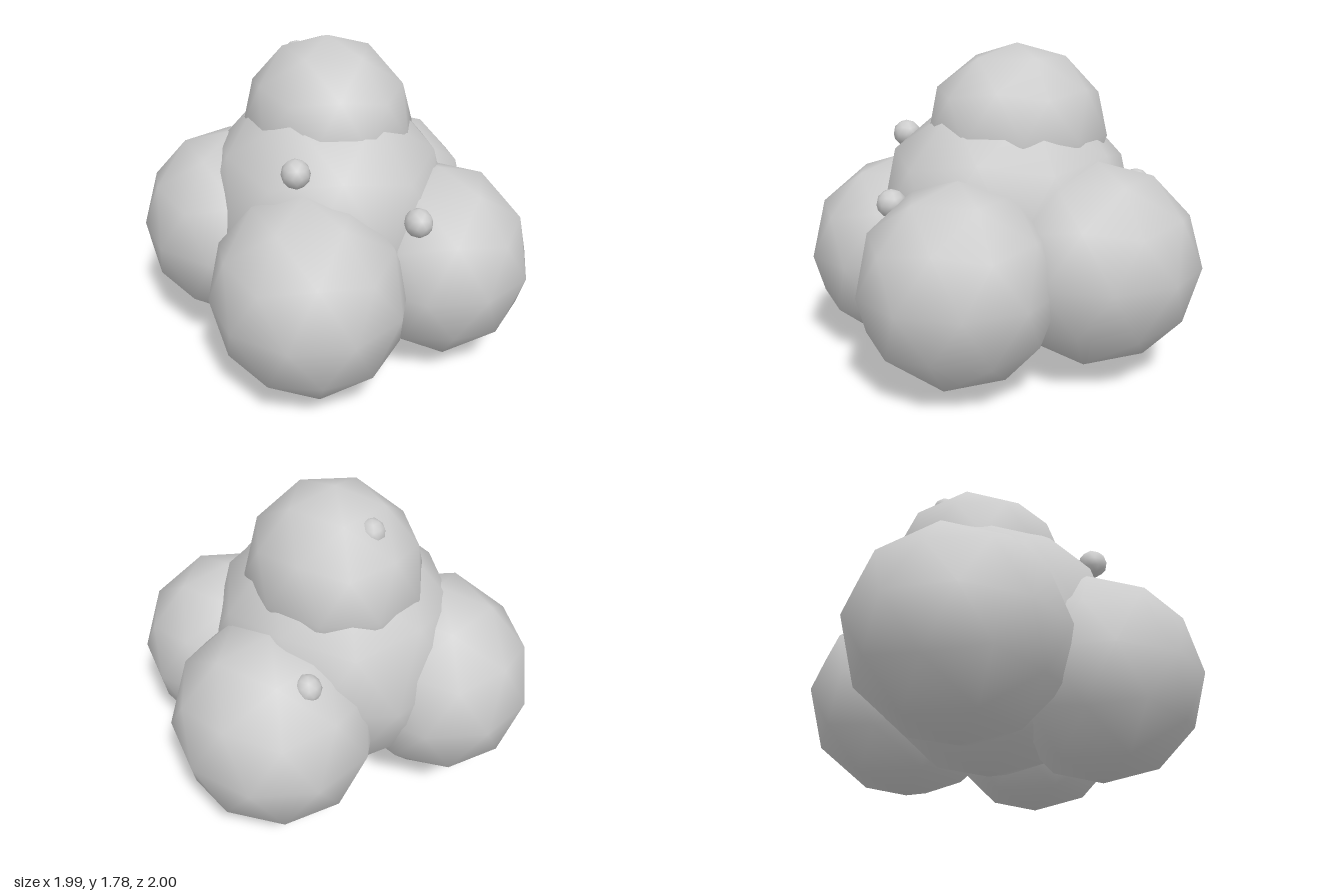
import * as THREE from 'three';

export function createModel() {
  const model = new THREE.Group();
  model.name = 'blobCluster';

  const grey = new THREE.MeshStandardMaterial({ color: 0xcccccc });
  grey.name = 'plain grey';

  // Coarse smooth-shaded ball with one corner pointing straight up
  const ball = new THREE.IcosahedronGeometry(1, 1);
  ball.rotateZ(-Math.atan(2 / (1 + Math.sqrt(5))));

  const addBall = (name, position, radii, roll = 0) => {
    const mesh = new THREE.Mesh(ball, grey);
    mesh.name = name;
    mesh.position.set(...position);
    mesh.scale.set(...radii);
    mesh.rotation.z = THREE.MathUtils.degToRad(roll);
    model.add(mesh);
  };

  // Central body and head
  addBall('body', [-0.035, 0.81, -0.08], [0.695, 0.74, 0.755]);
  addBall('head', [-0.005, 1.28, -0.125], [0.475, 0.505, 0.53]);

  // Four large lobes around the base
  addBall('frontRightLobe', [-0.37, 0.57, 0.43], [0.53, 0.565, 0.565], 2);
  addBall('frontLeftLobe', [0.425, 0.58, 0.39], [0.53, 0.55, 0.545]);
  addBall('backRightLobe', [-0.49, 0.64, -0.41], [0.535, 0.57, 0.59]);
  addBall('backLeftLobe', [0.47, 0.62, -0.385], [0.55, 0.56, 0.59]);

  // Small knobs, two standing proud and two mostly sunk in
  addBall('rightKnob', [-0.42, 1.25, 0.40], [0.075, 0.078, 0.08]);
  addBall('frontKnob', [0.145, 0.975, 0.66], [0.075, 0.078, 0.08]);
  addBall('backKnob', [0.395, 1.03, -0.675], [0.072, 0.075, 0.077]);
  addBall('headKnob', [-0.085, 1.63, -0.375], [0.072, 0.075, 0.077]);

  return model;
}
